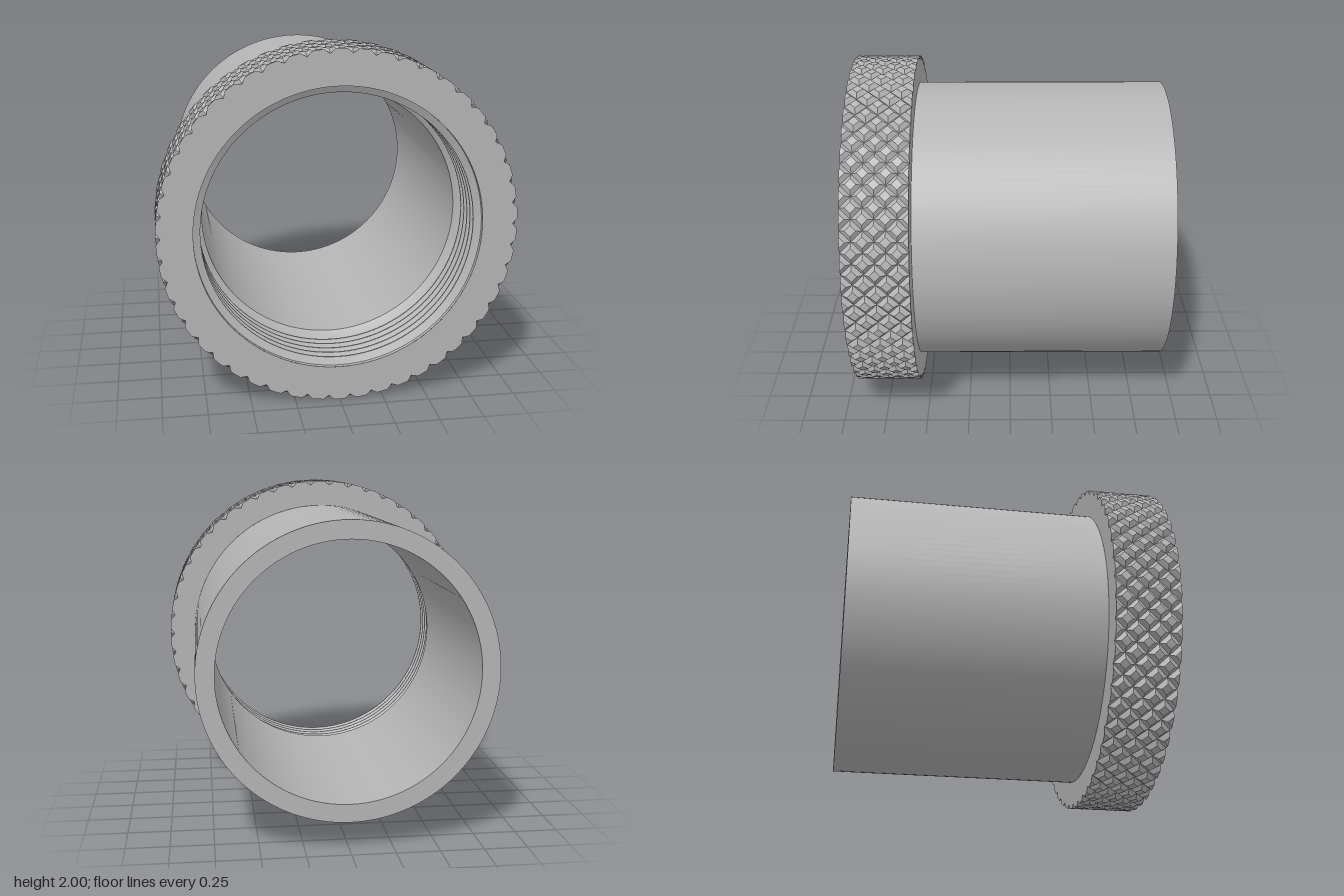
import * as THREE from 'three';
import { toCreasedNormals } from 'three/addons/utils/BufferGeometryUtils.js';

const BACK = -0.92, SHOULDER = 0.545, FRONT = 0.92;
const TUBE_R = 0.84, BORE_R = 0.735, MOUTH_R = 0.8, RING_R = 1;

// Knurl lattice: grooves per helix, grid steps per diamond, diamonds across the band
const GROOVES = 50, STEP = 8, ROWS = 3 * STEP, COLS = GROOVES * STEP;
const HALF_WIDTH = 2, DEPTH = 0.025;

// Smooth surface of revolution about z, sharp at profile corners; points are [radius, z]
function turned(points) {
  const profile = points.map(([r, z]) => new THREE.Vector2(r, z));
  const geo = new THREE.LatheGeometry(profile, 128).rotateX(Math.PI / 2);
  return toCreasedNormals(geo, 0.4);
}

// Radius on the knurled band: two crossing families of V grooves
function knurlRadius(i, j) {
  const off = (n) => {
    const m = ((n % STEP) + STEP) % STEP;
    return Math.min(m, STEP - m);
  };
  const d = Math.min(off(i + j), off(i - j), HALF_WIDTH);
  return RING_R - DEPTH * (1 - d / HALF_WIDTH);
}

function polar(r, i, z) {
  const a = (i / COLS) * Math.PI * 2;
  return [r * Math.cos(a), r * Math.sin(a), z];
}

function facets(triangles) {
  const geo = new THREE.BufferGeometry();
  geo.setAttribute('position', new THREE.Float32BufferAttribute(triangles.flat(), 3));
  geo.computeVertexNormals();
  return geo;
}

// Diagonals alternate so that every groove edge follows the grid
function knurlBand() {
  const out = [];
  const p = (i, j) => polar(knurlRadius(i, j), i, SHOULDER + ((FRONT - SHOULDER) * j) / ROWS);
  for (let j = 0; j < ROWS; j++) {
    for (let i = 0; i < COLS; i++) {
      const a = p(i, j), b = p(i + 1, j), c = p(i + 1, j + 1), d = p(i, j + 1);
      if ((i + j) % 2 === 0) out.push(a, b, c, a, c, d);
      else out.push(a, b, d, b, c, d);
    }
  }
  return facets(out);
}

// Flat end of the ring with the notched outer edge
function ringEnd(j, z, inner, facing) {
  const out = [];
  for (let i = 0; i < COLS; i++) {
    const a = polar(inner, i, z), b = polar(knurlRadius(i, j), i, z);
    const c = polar(knurlRadius(i + 1, j), i + 1, z), d = polar(inner, i + 1, z);
    if (facing > 0) out.push(a, b, c, a, c, d);
    else out.push(a, c, b, a, d, c);
  }
  return facets(out);
}

export function createModel() {
  const group = new THREE.Group();
  const metal = new THREE.MeshStandardMaterial({ color: 0xb4b4b4 });
  metal.name = 'grey metal';

  const add = (name, geo) => {
    const mesh = new THREE.Mesh(geo, metal);
    mesh.name = name;
    mesh.position.y = 1;
    group.add(mesh);
  };

  // Plain sleeve: bore, rear rim and outer wall
  add('sleeve', turned([
    [BORE_R, SHOULDER], [BORE_R, BACK], [TUBE_R, BACK], [TUBE_R, SHOULDER],
  ]));

  // Internal thread, from the mouth down to the bevel at the bore
  const thread = [[MOUTH_R, FRONT], [MOUTH_R, 0.895]];
  const turns = 5, pitch = 0.062;
  for (let k = 0; k < turns; k++) {
    const z = 0.895 - k * pitch;
    thread.push(
      [0.76, z - pitch * 0.35], [0.76, z - pitch * 0.5],
      [MOUTH_R, z - pitch * 0.85], [MOUTH_R, z - pitch],
    );
  }
  thread.push([0.76, 0.565], [BORE_R, SHOULDER]);
  add('internalThread', turned(thread));

  // Knurled grip ring
  add('knurledGrip', knurlBand());
  add('gripFrontFace', ringEnd(ROWS, FRONT, MOUTH_R, 1));
  add('gripBackFace', ringEnd(0, SHOULDER, TUBE_R, -1));

  return group;
}
